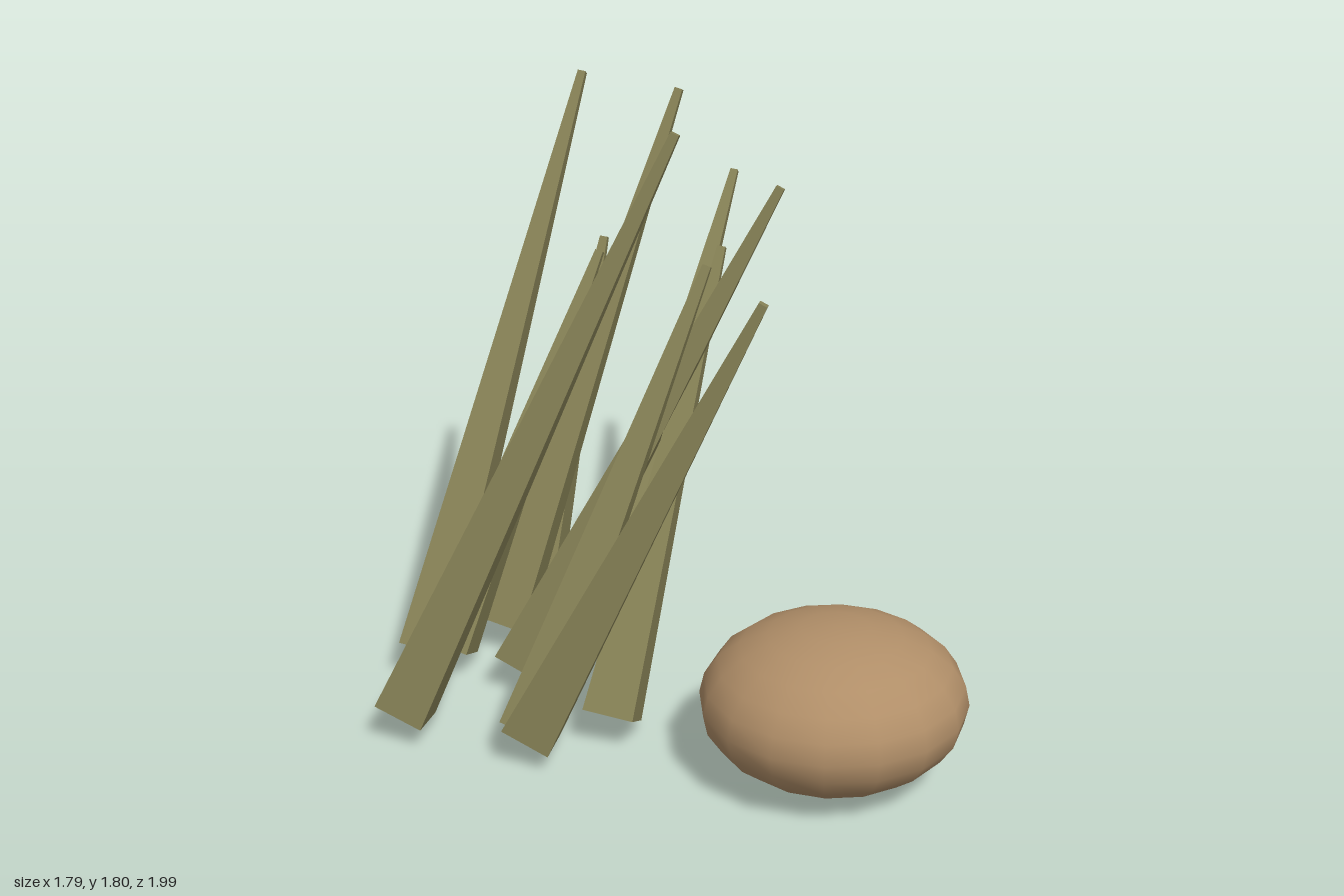
import * as THREE from 'three';

const grassOlive = new THREE.MeshStandardMaterial({ color: 0x858055, flatShading: true });
const stoneBrown = new THREE.MeshStandardMaterial({ color: 0xb08e68 });
grassOlive.name = 'grassOlive';
stoneBrown.name = 'stoneBrown';

// Four-sided tapered blade running from base centre to tip centre
function blade(base, tip) {
  const a = new THREE.Vector3(...base);
  const dir = new THREE.Vector3(...tip).sub(a);
  const length = dir.length();
  const geo = new THREE.CylinderGeometry(0.018, 0.108, length, 4);
  geo.translate(0, length / 2, 0);
  const mesh = new THREE.Mesh(geo, grassOlive);
  mesh.quaternion.setFromUnitVectors(new THREE.Vector3(0, 1, 0), dir.normalize());
  mesh.position.copy(a);
  mesh.name = 'blade';
  return mesh;
}

export function createModel() {
  const model = new THREE.Group();
  model.name = 'grassAndStone';

  // Leaning dry grass blades: [base, tip]
  const grass = new THREE.Group();
  grass.name = 'grass';
  const blades = [
    [[-0.80, 0.09, -0.22], [-0.06, 1.80, 0.11]],
    [[-0.57, 0.09, -0.53], [0.25, 1.76, -0.92]],
    [[-0.28, 0.09, -0.57], [0.47, 1.72, -0.69]],
    [[-0.36, 0.09, -0.30], [0.34, 1.58, 0.05]],
    [[-0.55, 0.09, 0.10], [-0.04, 1.42, 0.51]],
    [[-0.54, 0.09, 0.07], [0.08, 1.39, 0.06]],
    [[-0.30, 0.09, 0.14], [0.30, 1.35, -0.19]],
    [[-0.50, 0.09, -0.52], [0.14, 1.25, -0.64]],
    [[-0.07, 0.09, -0.74], [0.36, 1.18, -0.98]],
    [[0.14, 0.10, -0.55], [0.88, 1.34, -0.97]],
  ];
  for (const [base, tip] of blades) grass.add(blade(base, tip));
  model.add(grass);

  // Smooth flattened stone in front of the grass
  const stoneGeo = new THREE.SphereGeometry(1, 16, 12);
  stoneGeo.rotateY(0.09);
  stoneGeo.scale(0.39, 0.233, 0.377);
  const stone = new THREE.Mesh(stoneGeo, stoneBrown);
  stone.name = 'stone';
  stone.position.set(0.15, 0.236, 0.62);
  model.add(stone);

  return model;
}
